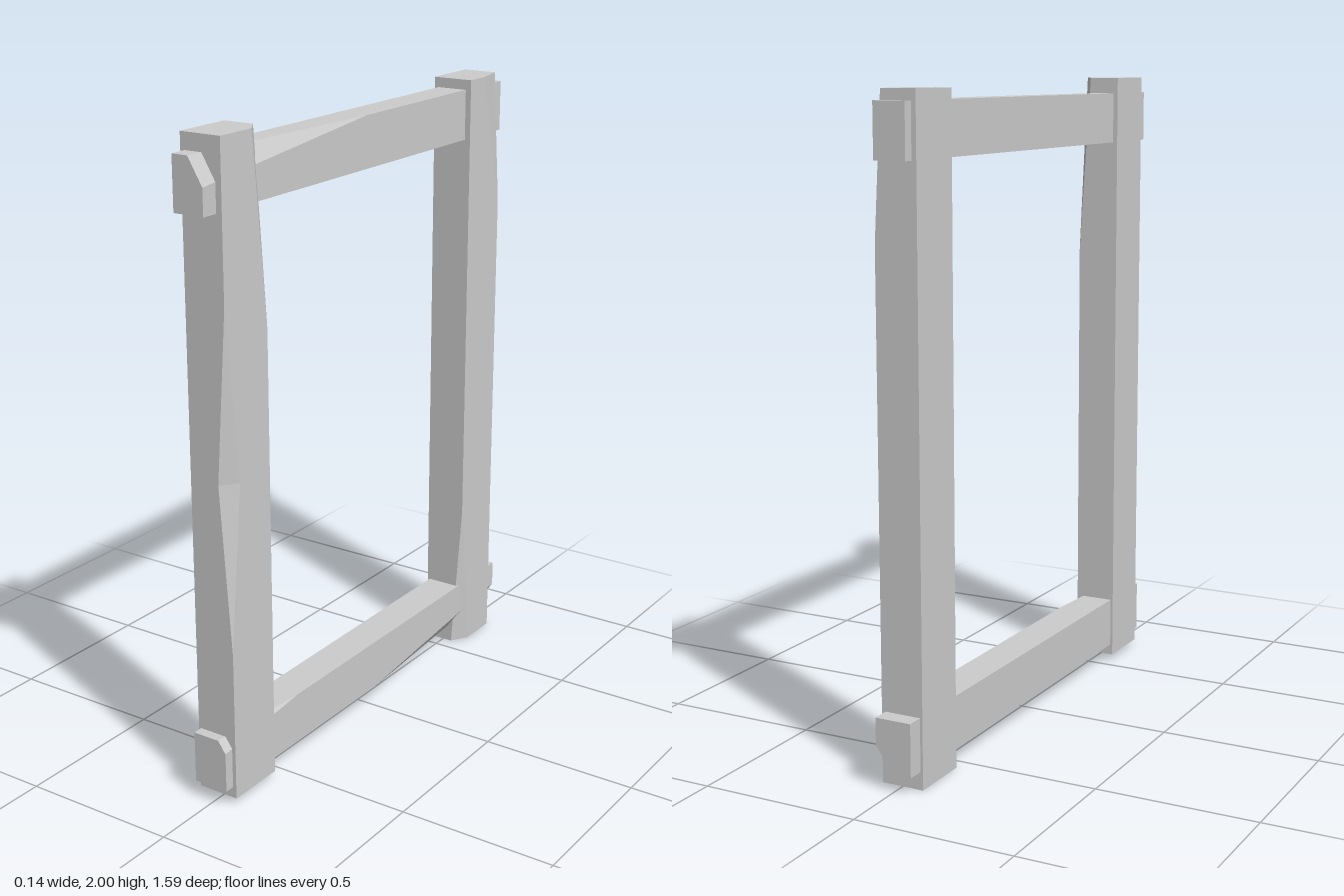
import * as THREE from 'three';

const material = new THREE.MeshStandardMaterial({ color: 0xcccccc, flatShading: true });

// Chip size [dx, dv] at position s along a beam, from rows of [s, dx, dv]
function chipAt(rows, s) {
  if (!rows.length) return [0, 0];
  if (s <= rows[0][0]) return rows[0].slice(1);
  for (let i = 1; i < rows.length; i++) {
    const a = rows[i - 1], b = rows[i];
    if (s <= b[0]) {
      const t = (s - a[0]) / (b[0] - a[0]);
      return [a[1] + (b[1] - a[1]) * t, a[2] + (b[2] - a[2]) * t];
    }
  }
  return rows[rows.length - 1].slice(1);
}

// Timber beam lofted along s; its cross-section lies in x and v.
// low and high are the chips on the two +x edges. Upright beams use s = y, v = z; rails s = z, v = y.
function beam(name, upright, [x0, x1], [v0, v1], [s0, s1], low, high) {
  const stations = [...new Set([s0, s1, ...low.map(r => r[0]), ...high.map(r => r[0])])].sort((a, b) => a - b);
  const rings = stations.map(s => {
    const [lx, lv] = chipAt(low, s), [hx, hv] = chipAt(high, s);
    return [[x0, v0], [x1 - lx, v0], [x1, v0 + lv], [x1, v1 - hv], [x1 - hx, v1], [x0, v1]]
      .map(([x, v]) => upright ? new THREE.Vector3(x, s, v) : new THREE.Vector3(x, v, s));
  });
  const points = [];
  const tri = (a, b, c) => {
    if (new THREE.Triangle(a, b, c).getArea() < 1e-7) return;
    points.push(...(upright ? [a, c, b] : [a, b, c]));
  };
  const n = 6;
  // Sides
  for (let k = 0; k < rings.length - 1; k++) {
    const p = rings[k], q = rings[k + 1];
    for (let i = 0; i < n; i++) {
      const j = (i + 1) % n;
      tri(p[i], p[j], q[j]);
      tri(p[i], q[j], q[i]);
    }
  }
  // End caps
  const first = rings[0], last = rings[rings.length - 1];
  for (let i = 1; i < n - 1; i++) {
    tri(first[0], first[i + 1], first[i]);
    tri(last[0], last[i], last[i + 1]);
  }
  const geometry = new THREE.BufferGeometry().setFromPoints(points);
  geometry.computeVertexNormals();
  const mesh = new THREE.Mesh(geometry, material);
  mesh.name = name;
  return mesh;
}

export function createModel() {
  const group = new THREE.Group();
  group.name = 'timberFrame';
  const postX = [-0.068, 0.067];
  group.add(
    // Posts, with worn notches on their +x edges
    beam('frontPost', true, postX, [0.55, 0.742], [0.02, 2],
      [[1.43, 0, 0], [2, 0.037, 0.055]],
      [[0.49, 0, 0], [1.01, 0.037, 0.052], [1.53, 0, 0]]),
    beam('backPost', true, postX, [-0.74, -0.548], [0, 1.982],
      [[1.56, 0, 0], [1.982, 0.024, 0.105]],
      [[0, 0.035, 0.055], [0.5, 0, 0]]),
    // Rails running through the posts, chipped towards their ends
    beam('topRail', false, [-0.053, 0.048], [1.79, 1.95], [-0.772, 0.797],
      [],
      [[0.02, 0, 0], [0.797, 0.048, 0.08]]),
    beam('bottomRail', false, [-0.06, 0.055], [0.055, 0.217], [-0.794, 0.774],
      [[-0.794, 0.055, 0.08], [-0.02, 0, 0]],
      [[0.41, 0, 0], [0.774, 0.026, 0.037]]),
  );
  return group;
}
